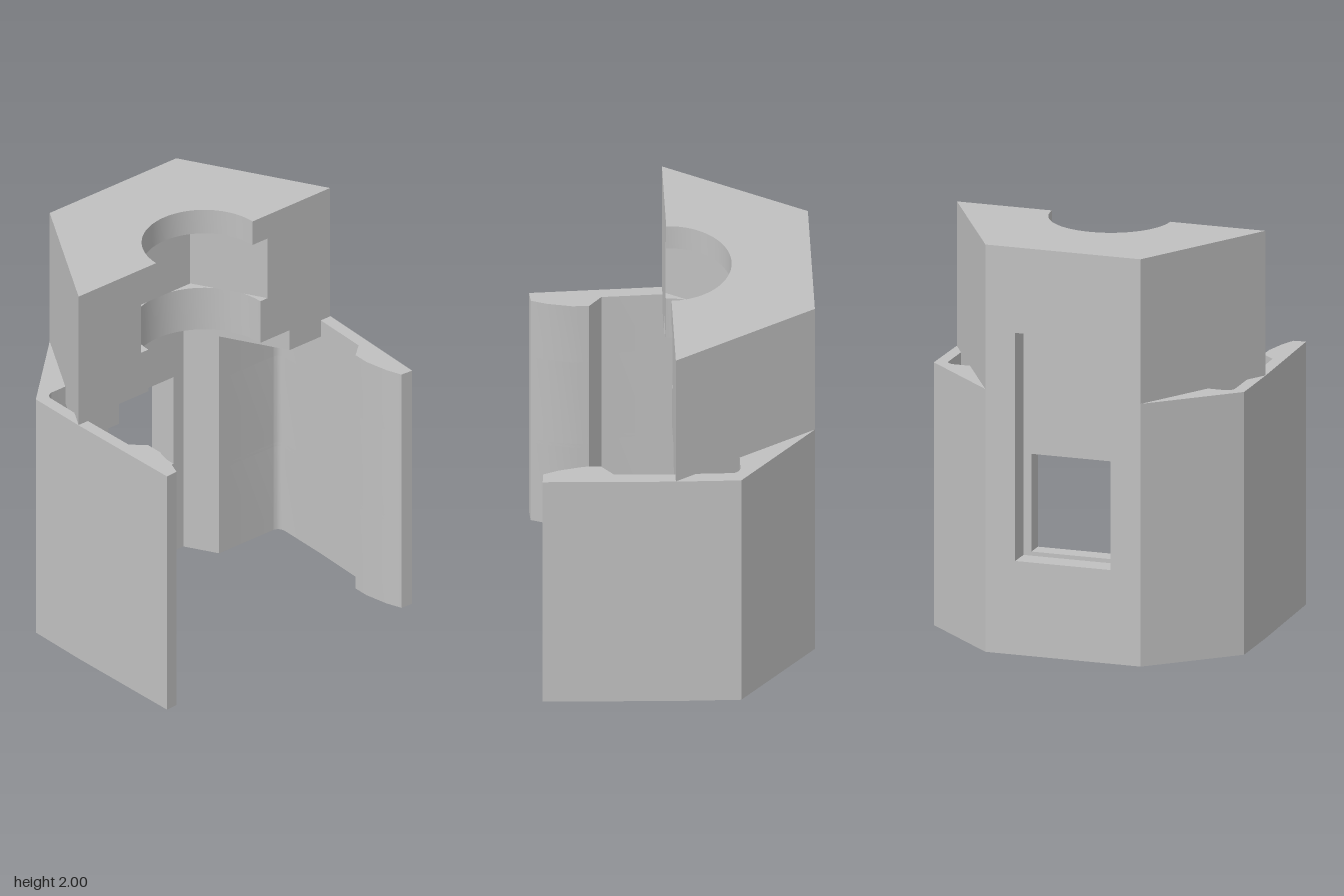
import * as THREE from 'three';
import { toCreasedNormals } from 'three/addons/utils/BufferGeometryUtils.js';

const FRONT = 0.02;  // z of the cut front face of the upper block
const BACK = -0.655; // z of the back face

const material = new THREE.MeshStandardMaterial({ color: 0xc0c0c0 });
material.name = 'grey plastic';

// Extrudes a mirrored [x, z] half outline between two heights.
// With split, the two halves stay separate, leaving an opening between them.
function slab(name, half, y0, y1, split = false) {
  const mirrored = half.filter(([x]) => x > 1e-6).map(([x, z]) => [-x, z]).reverse();
  const outlines = split ? [half, mirrored] : [[...half, ...mirrored]];
  const shapes = outlines.map(o => new THREE.Shape(o.map(([x, z]) => new THREE.Vector2(x, -z))));
  let geo = new THREE.ExtrudeGeometry(shapes, { depth: y1 - y0, bevelEnabled: false });
  geo.rotateX(-Math.PI / 2);
  geo.translate(0, y0, 0);
  geo = toCreasedNormals(geo, 0.5);
  const mesh = new THREE.Mesh(geo, material);
  mesh.name = name;
  return mesh;
}

// Quarter of a round (or, with few steps, hexagonal) bore, from its back to the front face
function arc(r, steps = 24) {
  return Array.from({ length: steps + 1 }, (_, i) => {
    const a = (i / steps) * Math.PI / 2;
    return [r * Math.sin(a), FRONT - r * Math.cos(a)];
  });
}

// Recess in the back face
const recess = [[0.24, BACK], [0.24, -0.54]];

// Lower clip: back wall, rounded inner corner, side arm and hooked lip
const corner = Array.from({ length: 7 }, (_, i) => {
  const a = (i / 6) * Math.PI / 2;
  return [0.68 + 0.04 * Math.sin(a), -0.25 - 0.04 * Math.cos(a)];
});
const clip = [
  [0.26, -0.447], [0.35, -0.29], ...corner, [0.718, FRONT],
  [0.708, 0.31], [0.64, 0.37], [0.64, 0.45], [0.665, 0.57], [0.693, 0.645], [0.755, 0.65],
  [0.777, FRONT], [0.78, -0.29], [0.39, BACK],
];
const recessedClip = [...clip, ...recess];
const windowClip = [[0.2, -0.447], ...clip, [0.24, BACK], [0.24, -0.54], [0.2, -0.54]];

// Upper block: a trapezoid with a cut from its front
const block = (cut, back = []) => [...cut, [0.775, FRONT], [0.39, BACK], ...back];
const slot = [[0.26, -0.447], [0.525, FRONT]];
const hex = [[0.195, FRONT - 0.338], [0.39, FRONT]];

export function createModel() {
  const lower = new THREE.Group();
  lower.name = 'clipBody';
  lower.add(
    slab('clipBase', clip, 0, 0.46),
    slab('windowSill', recessedClip, 0.46, 0.48),
    slab('windowSides', windowClip, 0.48, 0.96, true),
    slab('clipTop', recessedClip, 0.96, 1.29),
  );

  const upper = new THREE.Group();
  upper.name = 'socketBlock';
  upper.add(
    slab('slotLayer', block(slot, recess), 1.2, 1.31),
    slab('lowerBore', block(arc(0.345), recess), 1.31, 1.54),
    slab('hexPocketRecessed', block(hex, recess), 1.54, 1.58),
    slab('hexPocket', block(hex), 1.58, 1.87),
    slab('upperBore', block(arc(0.297)), 1.87, 2),
  );

  const model = new THREE.Group();
  model.name = 'clipHolder';
  model.add(lower, upper);
  return model;
}
